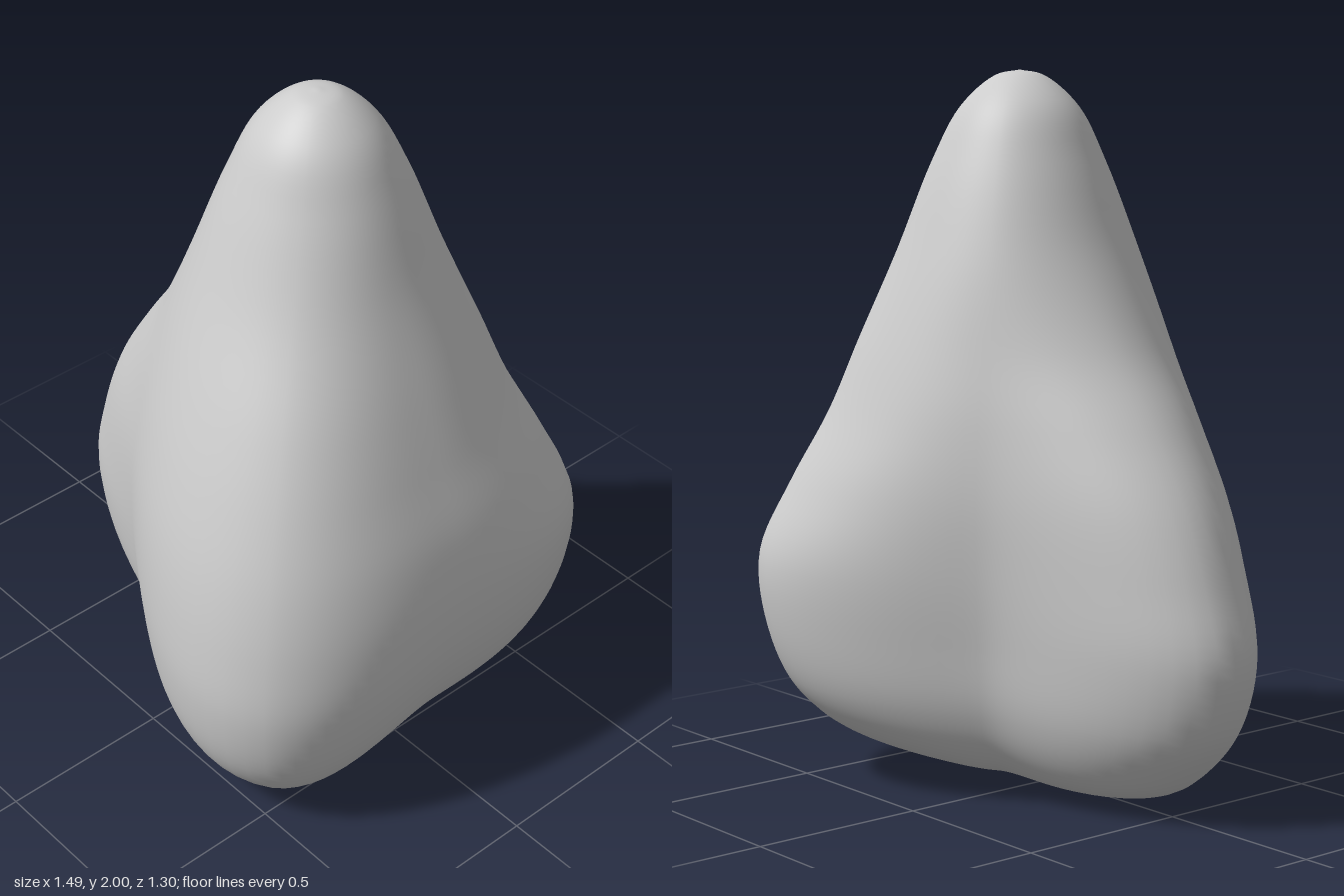
import * as THREE from 'three';

// Heights shared by all profile curves, from base to tip
const heights = [0, 0.04, 0.12, 0.25, 0.45, 0.65, 0.85, 1.05, 1.25, 1.5, 1.75, 1.9, 1.985];
const AXIS_X = 0.13;
const BASE_Y = 0.02;
const LIFT_TOP = 0.7;

// Profiles around the upright axis: angle in degrees from +x towards +z,
// how far the underside rises there, and the radius at each height
const profiles = [
  // hollow between the front and back lobes
  { angle: 0, lift: 0.06, radii: [0.24, 0.36, 0.455, 0.54, 0.6, 0.61, 0.575, 0.505, 0.43, 0.33, 0.24, 0.165, 0.068] },
  // front lobe
  { angle: 52, lift: 0, radii: [0.36, 0.53, 0.64, 0.715, 0.75, 0.73, 0.68, 0.6, 0.5, 0.355, 0.24, 0.165, 0.068] },
  // hollow between the front and side lobes
  { angle: 124, lift: 0.04, radii: [0.24, 0.36, 0.43, 0.48, 0.51, 0.52, 0.51, 0.475, 0.42, 0.335, 0.24, 0.165, 0.068] },
  // side lobe
  { angle: 180, lift: 0.02, radii: [0.42, 0.62, 0.73, 0.83, 0.875, 0.82, 0.735, 0.605, 0.46, 0.33, 0.235, 0.165, 0.068] },
  // hollow between the side and back lobes
  { angle: 235, lift: 0.05, radii: [0.2, 0.3, 0.37, 0.42, 0.445, 0.46, 0.46, 0.435, 0.39, 0.325, 0.24, 0.165, 0.068] },
  // back lobe
  { angle: 308, lift: 0.1, radii: [0.34, 0.46, 0.57, 0.665, 0.73, 0.74, 0.65, 0.54, 0.455, 0.345, 0.245, 0.165, 0.068] },
];

// Each profile is a smooth curve of (radius, height)
function profileCurve({ lift, radii }) {
  const points = radii.map((r, i) => {
    const low = Math.max(0, 1 - heights[i] / LIFT_TOP);
    return new THREE.Vector3(r, heights[i] + lift * low * low, 0);
  });
  points.unshift(new THREE.Vector3(0, BASE_Y, 0));
  points.push(new THREE.Vector3(0, 2, 0));
  return new THREE.CatmullRomCurve3(points);
}

// Skin closed rings around the axis, easing from each profile to the next
function loftGeometry(rings, steps) {
  const curves = profiles.map(profileCurve);
  const sides = steps * profiles.length;
  const positions = [AXIS_X, BASE_Y, 0];
  const index = [];
  for (let i = 1; i < rings; i++) {
    const corners = curves.map((c) => c.getPoint(i / rings));
    profiles.forEach((profile, k) => {
      const next = (k + 1) % profiles.length;
      const endAngle = profiles[next].angle + (next === 0 ? 360 : 0);
      for (let s = 0; s < steps; s++) {
        const t = s / steps;
        const a = THREE.MathUtils.degToRad(THREE.MathUtils.lerp(profile.angle, endAngle, t));
        const ease = THREE.MathUtils.smoothstep(t, 0, 1);
        // blending reciprocals keeps the flanks between lobes nearly straight
        const r = 1 / THREE.MathUtils.lerp(1 / corners[k].x, 1 / corners[next].x, ease);
        const y = THREE.MathUtils.lerp(corners[k].y, corners[next].y, ease);
        positions.push(AXIS_X + r * Math.cos(a), y, r * Math.sin(a));
      }
    });
  }
  positions.push(AXIS_X, 2, 0);
  const top = positions.length / 3 - 1;
  const at = (i, j) => 1 + (i - 1) * sides + (j % sides);
  for (let j = 0; j < sides; j++) {
    index.push(0, at(1, j), at(1, j + 1));
    for (let i = 1; i < rings - 1; i++) {
      const a = at(i, j), b = at(i, j + 1), c = at(i + 1, j + 1), d = at(i + 1, j);
      index.push(a, d, c, a, c, b);
    }
    index.push(at(rings - 1, j), top, at(rings - 1, j + 1));
  }
  const geometry = new THREE.BufferGeometry();
  geometry.setAttribute('position', new THREE.Float32BufferAttribute(positions, 3));
  geometry.setIndex(index);

  // Centre on x and z, stand on the ground
  geometry.computeBoundingBox();
  const box = geometry.boundingBox;
  const mid = box.getCenter(new THREE.Vector3());
  geometry.translate(-mid.x, -box.min.y, -mid.z);
  geometry.computeVertexNormals();
  return geometry;
}

export function createModel() {
  const group = new THREE.Group();
  const body = new THREE.Mesh(
    loftGeometry(84, 16),
    new THREE.MeshStandardMaterial({ color: 0xcccccc }),
  );
  body.name = 'lobedBody';
  group.add(body);
  return group;
}
